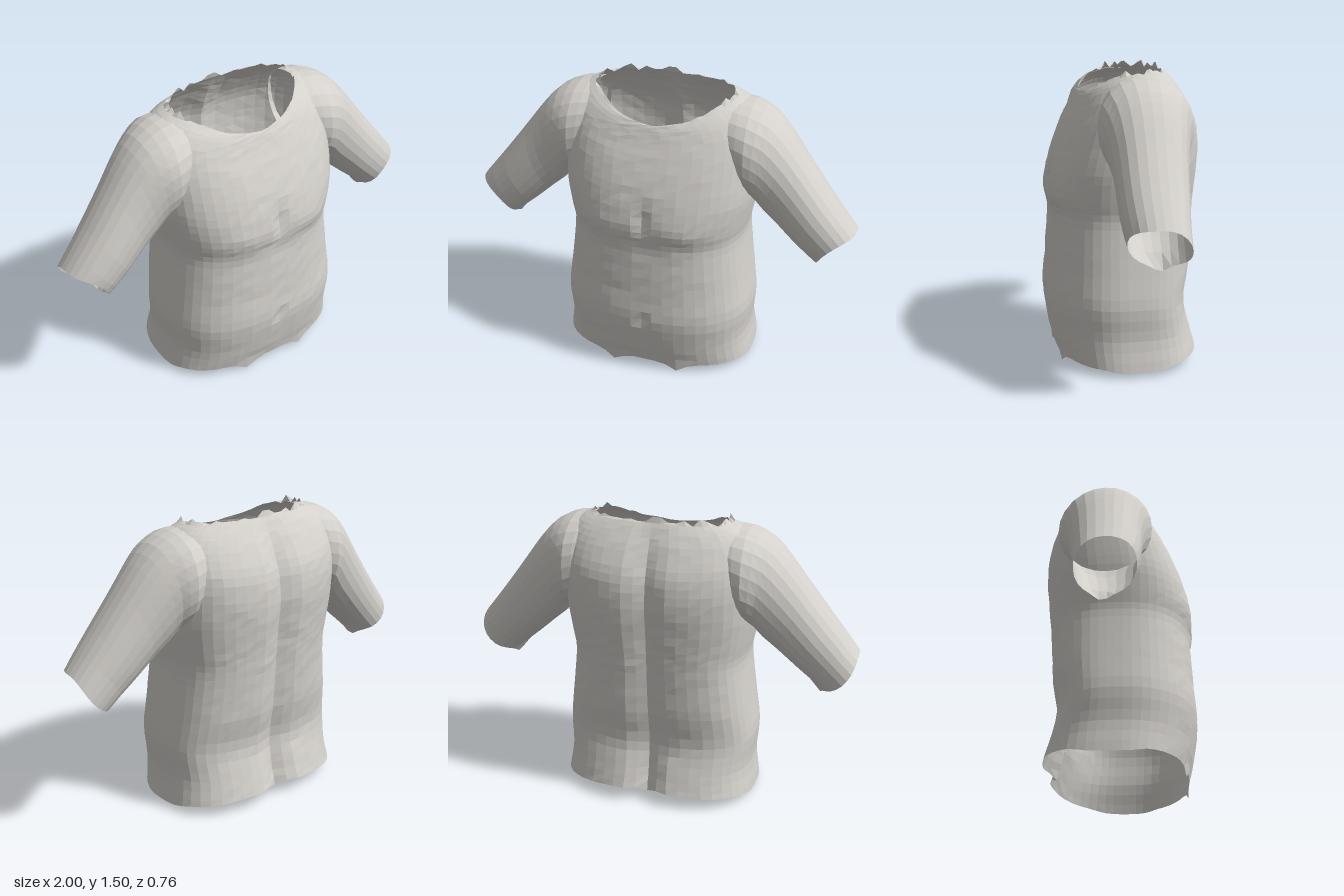
import * as THREE from 'three';

const SEG = 56;
const bump = (v, c, w) => Math.exp(-(((v - c) / w) ** 2));
// small repeatable unevenness for cloth
const wobble = (a, b) => {
  const n = Math.sin(a * 12.9898 + b * 78.233) * 43758.5453;
  return n - Math.floor(n) - 0.5;
};

// smooth curve value between b and c, with neighbours a and d
function spline(a, b, c, d, t) {
  const cubic = 3 * (b - c) + d - a;
  const square = 2 * a - 5 * b + 4 * c - d;
  return b + 0.5 * t * (c - a + t * (square + t * cubic));
}

// smooth rows of numbers between the given key rows
function sampleRows(keys, per) {
  const out = [];
  for (let k = 0; k < keys.length - 1; k++) {
    const a = keys[Math.max(k - 1, 0)], b = keys[k];
    const c = keys[k + 1], d = keys[Math.min(k + 2, keys.length - 1)];
    for (let j = 0; j < per; j++) {
      out.push(b.map((v, i) => spline(a[i], v, c[i], d[i], j / per)));
    }
  }
  out.push(keys[keys.length - 1]);
  return out;
}

// open tube skinned over rings of points
function loft(rows, seg, point) {
  const pos = [], idx = [];
  rows.forEach((row, r) => {
    for (let i = 0; i < seg; i++) pos.push(...point(row, r, (i / seg) * Math.PI * 2, i));
  });
  for (let r = 0; r < rows.length - 1; r++) {
    for (let i = 0; i < seg; i++) {
      const a = r * seg + i, b = r * seg + ((i + 1) % seg);
      idx.push(a, a + seg, b, b, a + seg, b + seg);
    }
  }
  const g = new THREE.BufferGeometry();
  g.setAttribute('position', new THREE.Float32BufferAttribute(pos, 3));
  g.setIndex(idx);
  g.computeVertexNormals();
  return g;
}

// torso rings: y front, y side, y back, half width, z front, z back, z centre
const TORSO = [
  [0.05, 0.04, 0.08, 0.51, 0.33, -0.375, 0],
  [0.18, 0.18, 0.18, 0.49, 0.36, -0.345, 0],
  [0.34, 0.34, 0.32, 0.5, 0.38, -0.31, 0],
  [0.5, 0.5, 0.5, 0.48, 0.368, -0.335, 0],
  [0.64, 0.64, 0.64, 0.462, 0.36, -0.345, 0],
  [0.77, 0.77, 0.77, 0.45, 0.352, -0.355, 0],
  [0.86, 0.87, 0.87, 0.465, 0.363, -0.362, 0],
  [0.98, 1.0, 1.0, 0.485, 0.352, -0.375, 0],
  [1.09, 1.14, 1.12, 0.49, 0.32, -0.38, -0.02],
  [1.2, 1.27, 1.24, 0.49, 0.275, -0.36, -0.04],
  [1.29, 1.37, 1.35, 0.475, 0.23, -0.305, -0.05],
  [1.345, 1.44, 1.43, 0.42, 0.205, -0.25, -0.06],
  [1.37, 1.475, 1.485, 0.34, 0.19, -0.205, -0.06],
];

function torsoGeometry() {
  const rows = sampleRows(TORSO, 3), last = rows.length - 1;
  return loft(rows, SEG, ([yF, yS, yB, w, zF, zB, zC], r, ang, i) => {
    const c = Math.cos(ang), s = Math.sin(ang), front = s > 0;
    const e = front ? 2.5 - 0.6 * (r / last) ** 6 : 2.9 - 0.4 * (r / last) ** 3;
    const k = (Math.abs(c) ** e + Math.abs(s) ** e) ** (-1 / e);
    const x = w * c * k;
    let y = yS + ((front ? yF : yB) - yS) * s * s;
    let z = zC + (front ? zF - zC : zC - zB) * s * k;
    const ax = Math.abs(x);
    if (front) {
      // chest fullness, breastbone cleft and navel
      z += 0.012 * bump(y, 0.88, 0.08) * bump(ax, 0.2, 0.12);
      z -= 0.016 * bump(y, 0.93, 0.07) * bump(x, 0, 0.03);
      z -= 0.012 * bump(y, 0.35, 0.035) * bump(x, 0, 0.03);
    } else {
      // spine groove, deeper at the seat
      const fade = Math.min(1, (last - r) / 8);
      z += fade * (0.035 + 0.02 * bump(y, 0.12, 0.12)) * bump(x, 0, 0.06);
    }
    // ragged hem
    if (r === 0) {
      if (front) y -= 0.045 * bump(ax, 0.17, 0.05);
      else y -= 0.025 * bump(ax, 0, 0.03);
      y -= 0.015 * bump(ax, 0.51, 0.02);
    }
    // ragged neckline with a tab at the nape
    if (r === last) {
      y += (s < 0.35 ? 0.045 : 0.008) * wobble(i, 3);
      if (!front) y += 0.035 * bump(x, 0, 0.03);
    }
    const n = 0.004 * wobble(i, r);
    return [x, y, z + (front ? n : -n) * Math.abs(s)];
  });
}

// sleeve rings from inside the shoulder: top x, top y, bottom x, bottom y, z front, z back
const SLEEVE = [
  [0.35, 1.455, 0.4, 1.02, 0.165, -0.265],
  [0.445, 1.447, 0.455, 0.985, 0.185, -0.285],
  [0.55, 1.4, 0.49, 0.95, 0.168, -0.25],
  [0.64, 1.308, 0.53, 0.9, 0.152, -0.225],
  [0.73, 1.19, 0.6, 0.84, 0.146, -0.2],
  [0.86, 1.02, 0.7, 0.75, 0.148, -0.175],
  [1.0, 0.845, 0.82, 0.65, 0.135, -0.145],
];

function sleeveGeometry(side) {
  const rows = sampleRows(SLEEVE, 2), last = rows.length - 1;
  return loft(rows, 24, ([tx, ty, bx, by, zF, zB], r, ang) => {
    const c = Math.cos(ang), s = -side * Math.sin(ang);
    const k = (Math.abs(c) ** 2.2 + Math.abs(s) ** 2.2) ** (-1 / 2.2);
    let x = (tx + bx) / 2 + ((tx - bx) / 2) * c * k;
    let y = (ty + by) / 2 + ((ty - by) / 2) * c * k;
    const z = (zF + zB) / 2 + ((zF - zB) / 2) * s * k;
    // cuff cut back at the front, with a small droop underneath
    if (r === last) {
      x -= 0.22 * z * Math.abs(s);
      y += 0.22 * z * Math.abs(s);
      if (c < -0.6) y -= 0.03 * bump(z, -0.03, 0.04);
    }
    return [side * x, y, z];
  });
}

export function createModel() {
  const cloth = new THREE.MeshStandardMaterial({
    name: 'light grey cloth', color: 0xd4d1cc, flatShading: true, side: THREE.DoubleSide,
  });
  const shirt = new THREE.Group();
  shirt.name = 'shirt';
  const add = (name, geometry) => {
    const mesh = new THREE.Mesh(geometry, cloth);
    mesh.name = name;
    shirt.add(mesh);
  };
  add('torso', torsoGeometry());
  add('leftSleeve', sleeveGeometry(1));
  add('rightSleeve', sleeveGeometry(-1));
  return shirt;
}
